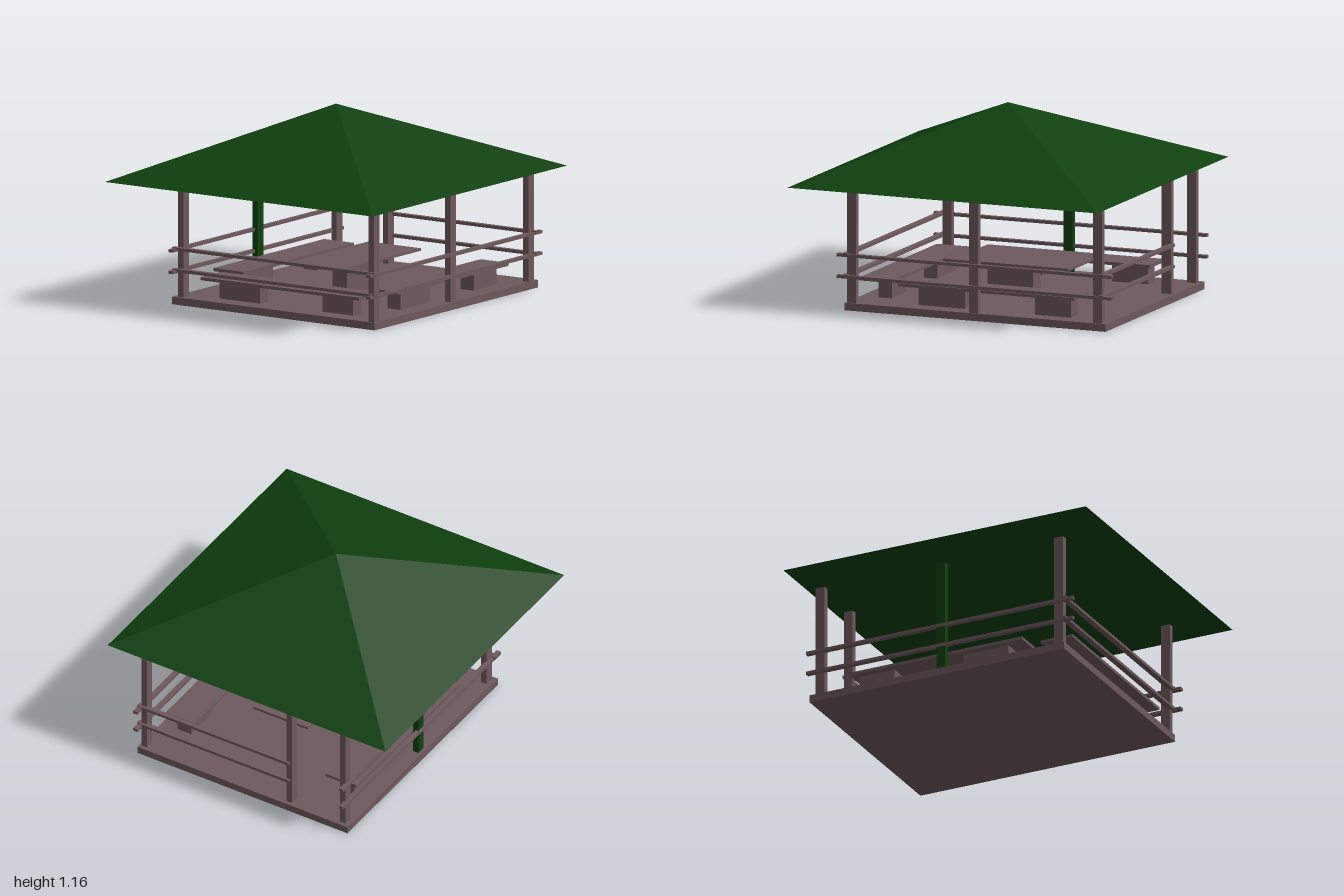
import * as THREE from 'three';

export function createModel() {
  const model = new THREE.Group();
  model.name = 'picnicPavilion';
  const wood = new THREE.MeshStandardMaterial({ color: 0x6e595d });
  wood.name = 'brownWood';
  const green = new THREE.MeshStandardMaterial({ color: 0x0f400f });
  green.name = 'darkGreen';

  // Box given by its extents along each axis
  function box(name, [x0, x1], [y0, y1], [z0, z1], material = wood, parent = model) {
    const mesh = new THREE.Mesh(new THREE.BoxGeometry(x1 - x0, y1 - y0, z1 - z0), material);
    mesh.position.set((x0 + x1) / 2, (y0 + y1) / 2, (z0 + z1) / 2);
    mesh.name = name;
    parent.add(mesh);
    return mesh;
  }
  const around = (c, size) => [c - size / 2, c + size / 2];

  // Floor slab
  const floorTop = 0.045;
  box('floor', [-0.715, 0.96], [0, floorTop], [-0.68, 0.775]);

  // Closed hipped roof: a four-sided cone stretched to the eaves
  const roofGeometry = new THREE.ConeGeometry(Math.SQRT1_2, 0.42, 4, 1, false, Math.PI / 4)
    .scale(1.99, 1, 1.925).toNonIndexed();
  roofGeometry.computeVertexNormals();
  const roof = new THREE.Mesh(roofGeometry, green);
  roof.name = 'roof';
  roof.position.set(-0.005, 0.955, 0);
  model.add(roof);

  // Posts: name, x, z, top, material
  const posts = [
    ['frontRightPost', -0.677, 0.745, 0.75, wood],
    ['frontMiddlePost', 0.107, 0.745, 0.73, wood],
    ['frontLeftPost', 0.905, 0.745, 0.75, wood],
    ['entrancePost', 0.905, -0.262, 0.75, wood],
    ['backLeftPost', 0.905, -0.632, 0.75, wood],
    ['backMiddlePost', 0.107, -0.64, 0.735, green],
    ['backRightPost', -0.665, -0.632, 0.75, wood],
  ];
  for (const [name, x, z, top, material] of posts) {
    box(name, around(x, 0.058), [floorTop, top], around(z, 0.038), material);
  }

  // Two rails per side; the left side stops at the entrance post
  for (const [level, y] of [['upper', 0.329], ['lower', 0.2]]) {
    const h = around(y, 0.018);
    box(level + 'FrontRail', [-0.765, 1], h, [0.75, 0.78]);
    box(level + 'BackRail', [-0.765, 0.99], h, [-0.67, -0.64]);
    box(level + 'RightRail', [-0.725, -0.69], around(y + 0.006, 0.018), [-0.675, 0.785]);
    box(level + 'LeftRail', [0.92, 0.95], around(y + 0.006, 0.018), [-0.265, 0.785]);
  }

  // Table
  const table = new THREE.Group();
  table.name = 'table';
  model.add(table);
  box('tablePedestal', [-0.08, 0.214], [floorTop, 0.235], [0.026, 0.13], wood, table);
  box('tableTop', [-0.31, 0.497], [0.235, 0.25], [-0.12, 0.258], wood, table);

  // Benches: a plank on two block supports, on three sides of the table
  function bench(name, seatX, seatZ, supports) {
    const group = new THREE.Group();
    group.name = name;
    model.add(group);
    box('benchSeat', seatX, [0.158, 0.176], seatZ, wood, group);
    for (const [x, z] of supports) box('benchSupport', x, [floorTop, 0.158], z, wood, group);
  }
  const shortX = [0.46, 0.69], longX = [-0.29, 0.01];
  bench('frontBench', [-0.4, 0.735], [0.52, 0.72],
    [[shortX, [0.57, 0.665]], [longX, [0.57, 0.665]]]);
  bench('backBench', [-0.4, 0.735], [-0.605, -0.39],
    [[shortX, [-0.56, -0.465]], [longX, [-0.56, -0.465]]]);
  bench('rightBench', [-0.68, -0.47], [-0.5, 0.64],
    [[[-0.6, -0.515], [-0.42, -0.13]], [[-0.6, -0.515], [0.32, 0.54]]]);

  return model;
}
